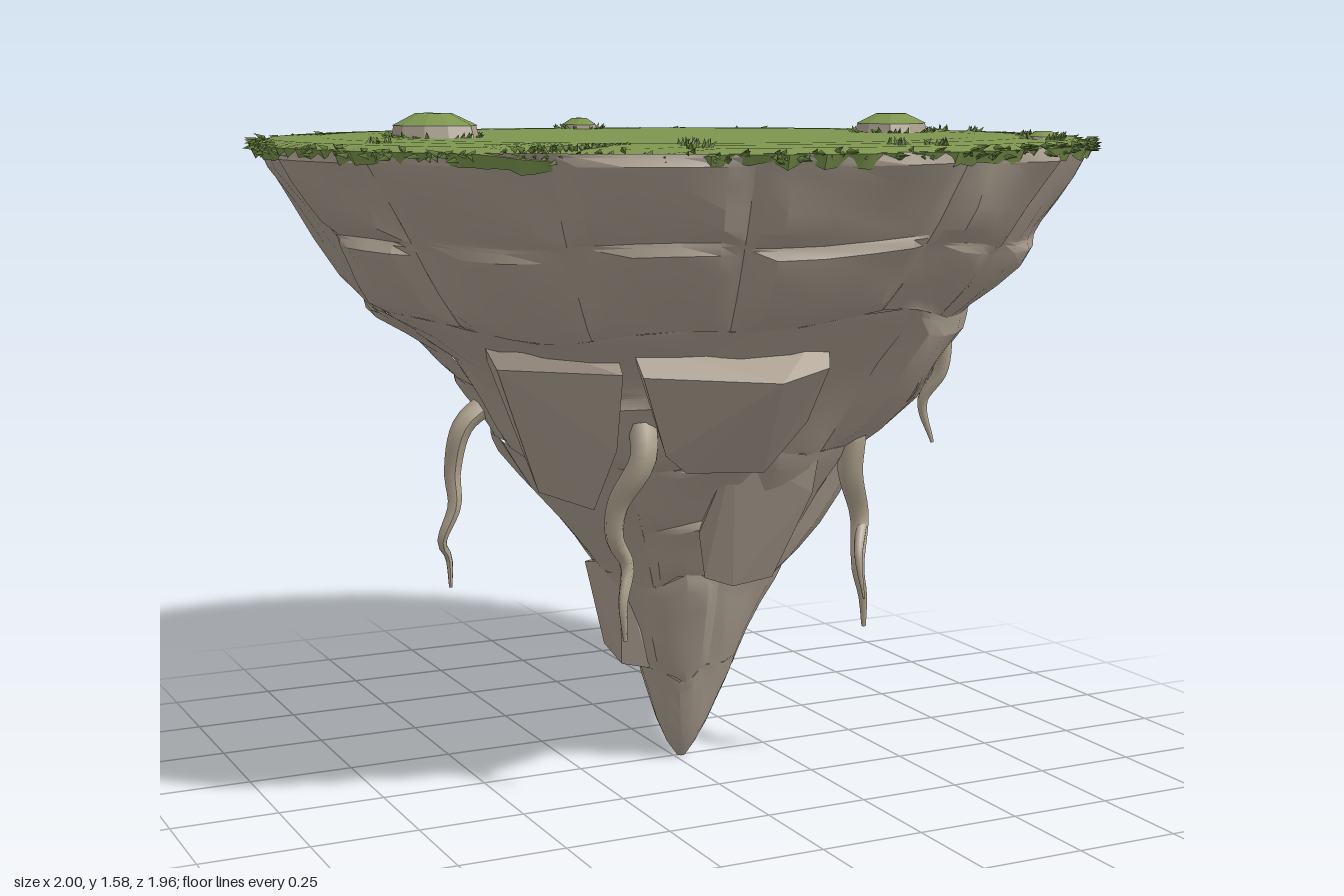
import * as THREE from 'three';
import { mergeGeometries, toCreasedNormals } from 'three/addons/utils/BufferGeometryUtils.js';
import { ConvexGeometry } from 'three/addons/geometries/ConvexGeometry.js';

const material = (name, color, side = THREE.FrontSide) => {
  const m = new THREE.MeshStandardMaterial({ color, side });
  m.name = name;
  return m;
};
const rock = material('rock', 0xaca091);
const rootWood = material('root wood', 0xafa38e);
const grass = material('grass', 0x7d954f, THREE.DoubleSide);
const darkGrass = material('dark grass', 0x657e3c, THREE.DoubleSide);

let seed = 7;
const random = () => (seed = (seed * 16807) % 2147483647) / 2147483647;
const jitter = (a) => (random() * 2 - 1) * a;

// Cliff radius by height: y, then towards +x, -z, -x, +z
const PROFILE = [
  [1.51, 0.985, 0.965, 0.985, 0.97], [1.36, 0.905, 0.86, 0.885, 0.88], [1.22, 0.825, 0.75, 0.805, 0.775],
  [1.13, 0.72, 0.68, 0.74, 0.69], [1.02, 0.66, 0.62, 0.58, 0.58], [0.9, 0.61, 0.56, 0.5, 0.48],
  [0.8, 0.46, 0.47, 0.45, 0.42], [0.7, 0.41, 0.36, 0.38, 0.33], [0.6, 0.36, 0.3, 0.29, 0.26],
  [0.48, 0.27, 0.22, 0.2, 0.2], [0.36, 0.2, 0.16, 0.14, 0.16], [0.2, 0.12, 0.1, 0.09, 0.1],
  [0.06, 0.055, 0.05, 0.05, 0.05], [0, 0.01, 0.01, 0.01, 0.01],
];
function cliffRadius(y, angle) {
  let i = 0;
  while (i < PROFILE.length - 2 && PROFILE[i + 1][0] > y) i++;
  const a = PROFILE[i], b = PROFILE[i + 1];
  const t = THREE.MathUtils.clamp((a[0] - y) / (a[0] - b[0]), 0, 1);
  const at = (k) => a[k] + (b[k] - a[k]) * t;
  const c = Math.cos(angle), s = Math.sin(angle);
  return c * c * at(c > 0 ? 1 : 3) + s * s * at(s > 0 ? 4 : 2);
}

// One block of the cliff: a pillowed patch whose edges sink into cracks
const STEPS = [0, 0.04, 0.14, 0.36, 0.62, 0.85, 0.96, 1];
function cliffBlock(left, right, top, bottom) {
  const positions = [], index = [], n = STEPS.length, wobble = random() * 6, bulge = jitter(0.014);
  for (const v of STEPS) for (const u of STEPS) {
    const angle = THREE.MathUtils.lerp(left(v), right(v), u);
    const y = THREE.MathUtils.lerp(top(angle), bottom(angle), v);
    const riseU = Math.min(1, Math.min(u, 1 - u) / 0.14), riseV = Math.min(1, Math.min(v, 1 - v) / 0.14);
    const rise = Math.min(riseU, riseV);
    const base = cliffRadius(y, angle);
    const facet = Math.sin(u * 5 + wobble) * Math.cos(v * 4 + wobble) * 0.014;
    const sink = Math.max((1 - riseU) * 0.022, (1 - riseV) * 0.012);
    const r = Math.max(0.004, base + Math.min(1, base * 2) * (rise * (bulge + facet) - sink));
    positions.push(r * Math.cos(angle) + 0.02 * (1 - y / 1.5), y, r * Math.sin(angle));
  }
  for (let j = 0; j < n - 1; j++) for (let i = 0; i < n - 1; i++) {
    const a = j * n + i;
    index.push(a, a + 1, a + n, a + 1, a + n + 1, a + n);
  }
  const g = new THREE.BufferGeometry();
  g.setAttribute('position', new THREE.Float32BufferAttribute(positions, 3));
  g.setIndex(index);
  return g;
}

// A ring of blocks; some are split across by a crack of their own
function cliffTier(top, bottom, count, splitChance) {
  const seams = Array.from({ length: count }, (_, i) => {
    const start = ((i + jitter(0.22)) / count) * Math.PI * 2, tilt = jitter(0.5 / count);
    return (v) => start + tilt * v;
  });
  seams.push((v) => seams[0](v) + Math.PI * 2);
  const wave = (y) => (a) => y + (y > 0.1 && y < 1.45 ? 0.022 * Math.sin(3 * a + y * 20) + 0.012 * Math.sin(8 * a + y * 9) : 0);
  const blocks = [];
  for (let i = 0; i < count; i++) {
    const l = seams[i], r = seams[i + 1];
    if (random() < splitChance) {
      const cut = 0.5 + jitter(0.08), mid = (a) => THREE.MathUtils.lerp(wave(top)(a), wave(bottom)(a), cut);
      blocks.push(cliffBlock((v) => l(v * cut), (v) => r(v * cut), wave(top), mid));
      blocks.push(cliffBlock((v) => l(cut + v * (1 - cut)), (v) => r(cut + v * (1 - cut)), mid, wave(bottom)));
    } else blocks.push(cliffBlock(l, r, wave(top), wave(bottom)));
  }
  return toCreasedNormals(mergeGeometries(blocks), 0.4);
}

// Solid core that backs the cracks between blocks
function coreGeometry() {
  const g = new THREE.CylinderGeometry(1, 1, 1.46, 48, 30, true).translate(0, 0.77, 0);
  const p = g.attributes.position;
  for (let i = 0; i < p.count; i++) {
    const y = p.getY(i), a = Math.atan2(p.getZ(i), p.getX(i));
    const r = Math.max(0.005, cliffRadius(y, a) * 0.95 - 0.015);
    p.setXYZ(i, r * Math.cos(a) + 0.02 * (1 - y / 1.5), y, r * Math.sin(a));
  }
  g.computeVertexNormals();
  return g;
}

// Hanging root: a tube that thins towards its end
function rootGeometry(points, radius) {
  const curve = new THREE.CatmullRomCurve3(points.map((p) => new THREE.Vector3(...p)));
  const rings = 24, sides = 7;
  const g = new THREE.TubeGeometry(curve, rings, radius, sides);
  const p = g.attributes.position, v = new THREE.Vector3();
  for (let i = 0; i <= rings; i++) {
    const centre = curve.getPointAt(i / rings);
    for (let j = 0; j <= sides; j++) {
      const k = i * (sides + 1) + j;
      v.fromBufferAttribute(p, k).sub(centre).multiplyScalar(1 - 0.85 * (i / rings) ** 1.3).add(centre);
      p.setXYZ(k, v.x, v.y, v.z);
    }
  }
  g.computeVertexNormals();
  return g;
}

// How far the front corner of the turf has slumped at an angle, 0 to 1
const slump = (a) => (a > 1.92 && a < 2.42 ? Math.sin(((a - 1.92) / 0.5) * Math.PI) : 0);

// Turf disc with a ragged rim, a short skirt and a slumped front corner
function turfGeometry() {
  const segments = 240, rings = [[0, 1.524], [0.5, 1.524], [0.74, 1.524], [0.85, 1.523], [0.96, 1.52], [1, 1.508], [0.985, 1.484]];
  const positions = [], index = [];
  const rag = Array.from({ length: segments }, () => jitter(0.009));
  rings.forEach(([r, y], j) => {
    for (let i = 0; i < segments; i++) {
      const a = (i / segments) * Math.PI * 2, s = slump(a);
      const radius = r * (0.982 + (j > 4 ? rag[i] : 0)) * (r > 0.9 ? 1 - 0.025 * s : 1);
      const drop = s * 0.018 * THREE.MathUtils.smoothstep(r, 0.74, 0.97) + (j === 6 ? rag[i] : 0);
      positions.push(radius * Math.cos(a), y - drop, radius * 0.98 * Math.sin(a));
      if (j) {
        const k = j * segments + i, next = j * segments + ((i + 1) % segments);
        index.push(k, k - segments, next, next, k - segments, next - segments);
      }
    }
  });
  const g = new THREE.BufferGeometry();
  g.setAttribute('position', new THREE.Float32BufferAttribute(positions, 3));
  g.setIndex(index);
  return toCreasedNormals(g, 0.5);
}

// One blade, leaning away along the given angle
function blade(x, y, z, angle, lean, length) {
  return new THREE.ConeGeometry(0.008, length, 3).translate(0, length / 2, 0)
    .rotateZ(-lean).rotateY(-angle).translate(x, y, z);
}

// Low stone layer with faceted, uneven sides
function stoneRing(rTop, rBottom, height, wide, phase) {
  const g = new THREE.CylinderGeometry(rTop, rBottom, height, 10, 1).toNonIndexed();
  const p = g.attributes.position;
  for (let i = 0; i < p.count; i++) {
    const a = Math.atan2(p.getZ(i), p.getX(i)), k = 1 + 0.1 * Math.sin(2 * a + phase) + 0.06 * Math.sin(3 * a + phase);
    p.setX(i, p.getX(i) * k);
    p.setZ(i, p.getZ(i) * k * wide);
  }
  g.computeVertexNormals();
  return g;
}

export function createModel() {
  const model = new THREE.Group();
  const add = (name, geometry, mat) => {
    const mesh = new THREE.Mesh(geometry, mat);
    mesh.name = name;
    model.add(mesh);
    return mesh;
  };

  // Cliff of stacked rock tiers, from rim to tip: top, bottom, blocks, chance of a split
  [[1.51, 1.13, 14, 0.6], [1.13, 0.8, 10, 0.3], [0.8, 0.49, 8, 0.2], [0.49, 0.24, 5, 0], [0.24, 0, 4, 0]]
    .forEach((tier, i) => add(`cliffTier${i + 1}`, cliffTier(...tier), rock));
  add('cliffCore', coreGeometry(), rock);

  // Outcrops jutting from the cliff
  const outcrops = {
    frontLedge: [[-0.34, 1.03, 0.56], [-0.08, 1.02, 0.7], [0.06, 1.04, 0.65], [0.12, 1.14, 0.54], [-0.34, 1.1, 0.49],
      [-0.24, 0.84, 0.46], [-0.17, 0.79, 0.42], [0.02, 0.78, 0.43], [0.09, 0.9, 0.5], [-0.1, 0.8, 0.2]],
    leftLedge: [[-0.57, 1.03, 0.3], [-0.36, 1.03, 0.5], [-0.6, 1.12, 0.24], [-0.36, 1.11, 0.44], [-0.48, 0.88, 0.24],
      [-0.41, 0.72, 0.14], [-0.32, 0.69, 0.25], [-0.33, 0.85, 0.4], [-0.3, 0.9, 0.1]],
    frontPillar: [[-0.05, 0.84, 0.42], [0.19, 0.84, 0.39], [0.2, 0.7, 0.33], [0.16, 0.48, 0.21], [-0.03, 0.5, 0.23],
      [-0.07, 0.62, 0.28], [0.05, 0.47, 0.22], [0.05, 0.8, 0.1], [0.05, 0.55, 0.05]],
    lowerSpur: [[-0.21, 0.5, -0.06], [-0.17, 0.52, 0.06], [-0.16, 0.29, -0.06], [-0.14, 0.25, 0], [-0.09, 0.24, -0.06],
      [-0.08, 0.24, 0.03], [-0.05, 0.5, -0.15], [0, 0.5, 0.05], [-0.03, 0.32, -0.1]],
  };
  for (const [name, points] of Object.entries(outcrops)) {
    add(name, new ConvexGeometry(points.map((p) => new THREE.Vector3(...p))), rock);
  }

  // Hanging roots
  [
    [[[-0.45, 0.9, -0.08], [-0.51, 0.85, -0.08], [-0.53, 0.74, -0.1], [-0.53, 0.66, -0.09], [-0.56, 0.57, -0.1], [-0.54, 0.53, -0.11], [-0.54, 0.46, -0.1]], 0.028],
    [[[-0.26, 0.92, 0.38], [-0.27, 0.83, 0.41], [-0.31, 0.72, 0.36], [-0.31, 0.64, 0.34], [-0.27, 0.57, 0.32], [-0.29, 0.49, 0.34], [-0.28, 0.4, 0.33]], 0.034],
    [[[0.28, 0.84, 0.27], [0.31, 0.86, 0.31], [0.32, 0.74, 0.3], [0.37, 0.62, 0.26], [0.35, 0.5, 0.29], [0.37, 0.43, 0.28], [0.38, 0.35, 0.27]], 0.037],
    [[[0.46, 1.08, 0.34], [0.5, 1.09, 0.38], [0.52, 0.98, 0.37], [0.49, 0.9, 0.34], [0.52, 0.8, 0.34]], 0.028],
    [[[0.49, 1.07, 0.38], [0.43, 1.01, 0.43], [0.42, 0.93, 0.4], [0.37, 0.88, 0.36]], 0.018],
    [[[0.37, 0.6, 0.27], [0.34, 0.53, 0.31], [0.35, 0.43, 0.32]], 0.014],
  ].forEach(([points, radius], i) => add(`root${i + 1}`, rootGeometry(points, radius), rootWood));

  // Turf and the ragged fringe around it
  add('turf', turfGeometry(), grass);
  const blades = [];
  for (let i = 0; i < 420; i++) {
    const a = random() * Math.PI * 2, r = 0.975 - 0.025 * slump(a);
    blades.push(blade(r * Math.cos(a), 1.505 + jitter(0.01), r * 0.98 * Math.sin(a), a + jitter(0.8), 1.5 + jitter(0.4), 0.018 + random() * 0.014));
  }

  // Mossy stones ringed with blades: x, z, radius, depth ratio, top
  [[-0.6, 0, 0.095, 1.2, 1.578], [0.58, 0.03, 0.088, 1.15, 1.57], [0.04, -0.655, 0.05, 1.3, 1.552], [0.59, 0.66, 0.04, 1, 1.54]].forEach(([x, z, r, wide, top], i) => {
    const side = (top - 1.51) * 0.6, cap = (top - 1.51) * 0.4;
    add(`stone${i + 1}`, stoneRing(r * 0.9, r, side, wide, i * 2), rock).position.set(x, 1.51 + side / 2, z);
    add(`stoneMoss${i + 1}`, stoneRing(r * 0.4, r * 0.93, cap, wide, i * 2), grass).position.set(x, top - cap / 2, z);
    for (let k = 0; k < 450 * r; k++) {
      const a = random() * Math.PI * 2;
      blades.push(blade(x + r * Math.cos(a), 1.52, z + r * wide * Math.sin(a), a, 0.8 + jitter(0.4), 0.022));
    }
  });

  // Loose tufts and the edge of the slumped corner
  [[-0.83, 0.31], [-0.3, 0.69], [-0.33, 0.8], [0.1, 0.86], [0.17, 0.88], [0.72, 0.4], [0.86, -0.02], [0.84, -0.16]].forEach(([x, z]) => {
    for (let k = 0; k < 9; k++) blades.push(blade(x + jitter(0.022), 1.515, z + jitter(0.022), random() * 6.28, random(), 0.024));
  });
  for (let k = 0; k < 34; k++) {
    const t = k / 33;
    blades.push(blade(-0.68 + 0.3 * t, 1.515, 0.71 - 0.11 * t + jitter(0.01), random() * 6.28, 1, 0.02));
  }
  add('grassBlades', mergeGeometries(blades), darkGrass);
  return model;
}
